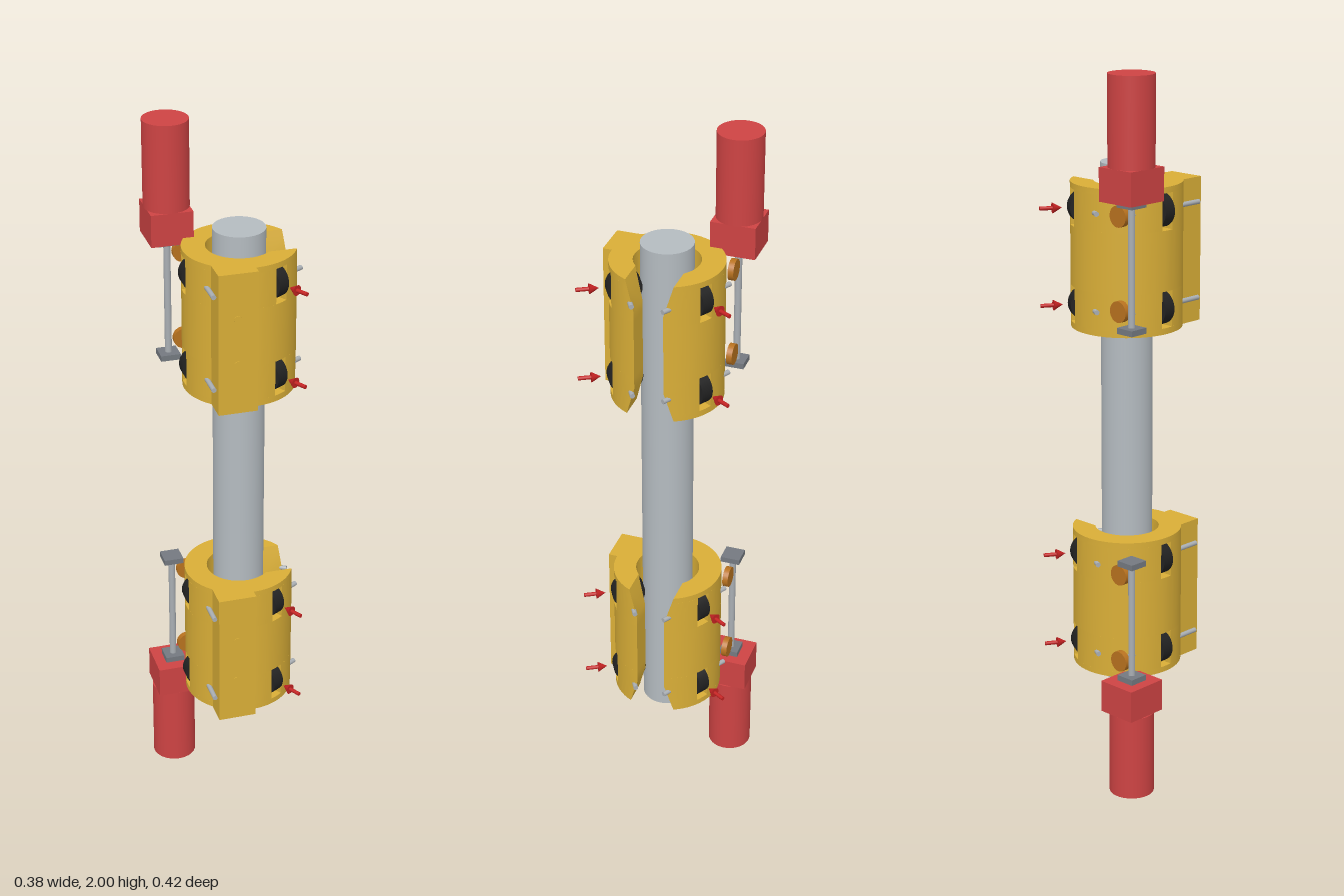
import * as THREE from 'three';
import { toCreasedNormals } from 'three/addons/utils/BufferGeometryUtils.js';

const mat = (name, color, side = THREE.FrontSide) => {
  const m = new THREE.MeshStandardMaterial({ color, side });
  m.name = name;
  return m;
};

const CX = 0.03, R_IN = 0.089, R_OUT = 0.152; // pole axis and collar radii
const SLOT = 0.0195, WHEEL_R = 0.0465, WHEEL_DIST = 0.1145;
const WHEEL_H = [0.357, 0.622]; // wheel heights measured from the middle
const deg = THREE.MathUtils.degToRad;

// Half width of the collar opening, flared towards both ends
function gapAt(h) {
  const d = Math.min(h - 0.29, 0.688 - h);
  return 0.04 + 0.025 * Math.max(0, 1 - d / 0.085);
}

// Ring sector between two parallel-sided cuts; each cut is [angle, half width at height, sign]
function sector(out, y0, y1, h0, h1, from, to) {
  const n = Math.max(2, Math.ceil((to[0] - from[0]) / deg(6)));
  const pt = (r, t, y, h) => {
    const a = from[0] + from[2] * Math.asin(from[1](h) / r);
    const b = to[0] + to[2] * Math.asin(to[1](h) / r);
    const ang = a + (b - a) * t;
    return [CX + r * Math.cos(ang), y, r * Math.sin(ang)];
  };
  const quad = (a, b, c, d) => out.push(...a, ...b, ...c, ...a, ...c, ...d);
  const column = (t) => [pt(R_IN, t, y0, h0), pt(R_OUT, t, y0, h0), pt(R_IN, t, y1, h1), pt(R_OUT, t, y1, h1)];
  for (let i = 0; i < n; i++) {
    const [a0, b0, A0, B0] = column(i / n), [a1, b1, A1, B1] = column((i + 1) / n);
    quad(b1, b0, B0, B1);
    quad(a0, a1, A1, A0);
    quad(A0, A1, B1, B0);
    quad(a0, b0, b1, a1);
    if (i === 0) quad(a0, A0, B0, b0);
    if (i === n - 1) quad(a1, b1, B1, A1);
  }
}

// C-shaped collar stacked in layers, with wheel slots through the wall
function collarGeometry(s) {
  const out = [], slot = () => SLOT;
  const levels = [0.29, 0.307, 0.375, 0.407, 0.572, 0.603, 0.672, 0.688];
  for (let i = 0; i < levels.length - 1; i++) {
    let h0 = levels[i], h1 = levels[i + 1];
    const mid = (h0 + h1) / 2;
    const slotted = WHEEL_H.some((h) => Math.abs(h - mid) < 0.05);
    if (s < 0) [h0, h1] = [h1, h0];
    let start = [0, gapAt, 1];
    if (slotted) for (const a of [60, 180, 300]) {
      sector(out, 1 + s * h0, 1 + s * h1, h0, h1, start, [deg(a), slot, -1]);
      start = [deg(a), slot, 1];
    }
    sector(out, 1 + s * h0, 1 + s * h1, h0, h1, start, [Math.PI * 2, gapAt, -1]);
  }
  const g = new THREE.BufferGeometry();
  g.setAttribute('position', new THREE.Float32BufferAttribute(out, 3));
  g.computeVertexNormals();
  return toCreasedNormals(g, deg(25));
}

export function createModel() {
  const yellow = mat('collar yellow', 0xd9ae37);
  const red = mat('motor red', 0xcd4343);
  const steel = mat('pole grey', 0xb4bbc0);
  const pin = mat('axle grey', 0xa9aeb3);
  const plate = mat('plate grey', 0x747980);
  const black = mat('wheel black', 0x222222);
  const arrowRed = mat('arrow red', 0xc42222);
  const orange = mat('disc orange', 0xb8721f);

  const root = new THREE.Group();
  root.name = 'poleClimber';
  const add = (parent, name, geo, material, x = 0, y = 0, z = 0) => {
    const m = new THREE.Mesh(geo, material);
    m.name = name;
    m.position.set(x, y, z);
    parent.add(m);
    return m;
  };
  const cyl = (r, h, n = 32) => new THREE.CylinderGeometry(r, r, h, n);

  add(root, 'pole', cyl(0.0705, 1.47, 48), steel, CX, 1.003, 0);

  for (const s of [1, -1]) {
    const unit = new THREE.Group();
    unit.name = s > 0 ? 'upperUnit' : 'lowerUnit';
    root.add(unit);
    const Y = (h) => 1 + s * h;

    // Collar with mounting block
    add(unit, 'collar', collarGeometry(s), yellow);
    add(unit, 'mountingBlock', new THREE.BoxGeometry(0.107, 0.398, 0.076), yellow, -0.0235, Y(0.489), 0.139);
    for (const h of [0.43, 0.56])
      add(unit, 'blockPlug', cyl(0.011, 0.004, 16), yellow, -0.025, Y(h), 0.1765).rotation.x = Math.PI / 2;

    // Wheels on tangential axles, with push arrows at the open side
    for (const h of WHEEL_H) for (const a of [60, 180, 300]) {
      const station = new THREE.Group();
      station.name = 'wheelStation';
      station.position.set(CX, Y(h), 0);
      station.rotation.y = -deg(a); // local +x points radially outward
      unit.add(station);
      add(station, 'wheel', cyl(WHEEL_R, 0.035), black, WHEEL_DIST).rotation.x = Math.PI / 2;
      const side = a === 180;
      add(station, 'axle', cyl(0.0068, side ? 0.275 : 0.23, 16), pin, WHEEL_DIST, 0, side ? -0.0225 : 0)
        .rotation.x = Math.PI / 2;
      if (side) continue;
      add(station, 'arrowShaft', cyl(0.0055, 0.04, 12), arrowRed, 0.22).rotation.z = Math.PI / 2;
      add(station, 'arrowHead', new THREE.ConeGeometry(0.0145, 0.026, 20), arrowRed, 0.192)
        .rotation.z = Math.PI / 2;
    }

    // Drive: motor, gearbox, lead screw, end plates and discs
    const mx = -0.127, mz = -0.143;
    add(unit, 'motor', cyl(0.062, 0.24, 40), red, mx, Y(0.88), mz);
    add(unit, 'gearbox', new THREE.BoxGeometry(0.115, 0.09, 0.123), red, mx, Y(0.715), mz);
    add(unit, 'leadScrew', cyl(0.0095, 0.35, 20), pin, mx, Y(0.495), mz);
    for (const h of [0.326, 0.662])
      add(unit, 'screwPlate', new THREE.BoxGeometry(0.055, 0.016, 0.055), plate, mx, Y(h), mz);
    for (const h of [0.37, 0.625])
      add(unit, 'driveDisc', cyl(0.029, 0.016, 28), orange, -0.084, Y(h), mz).rotation.x = Math.PI / 2;
  }
  return root;
}
